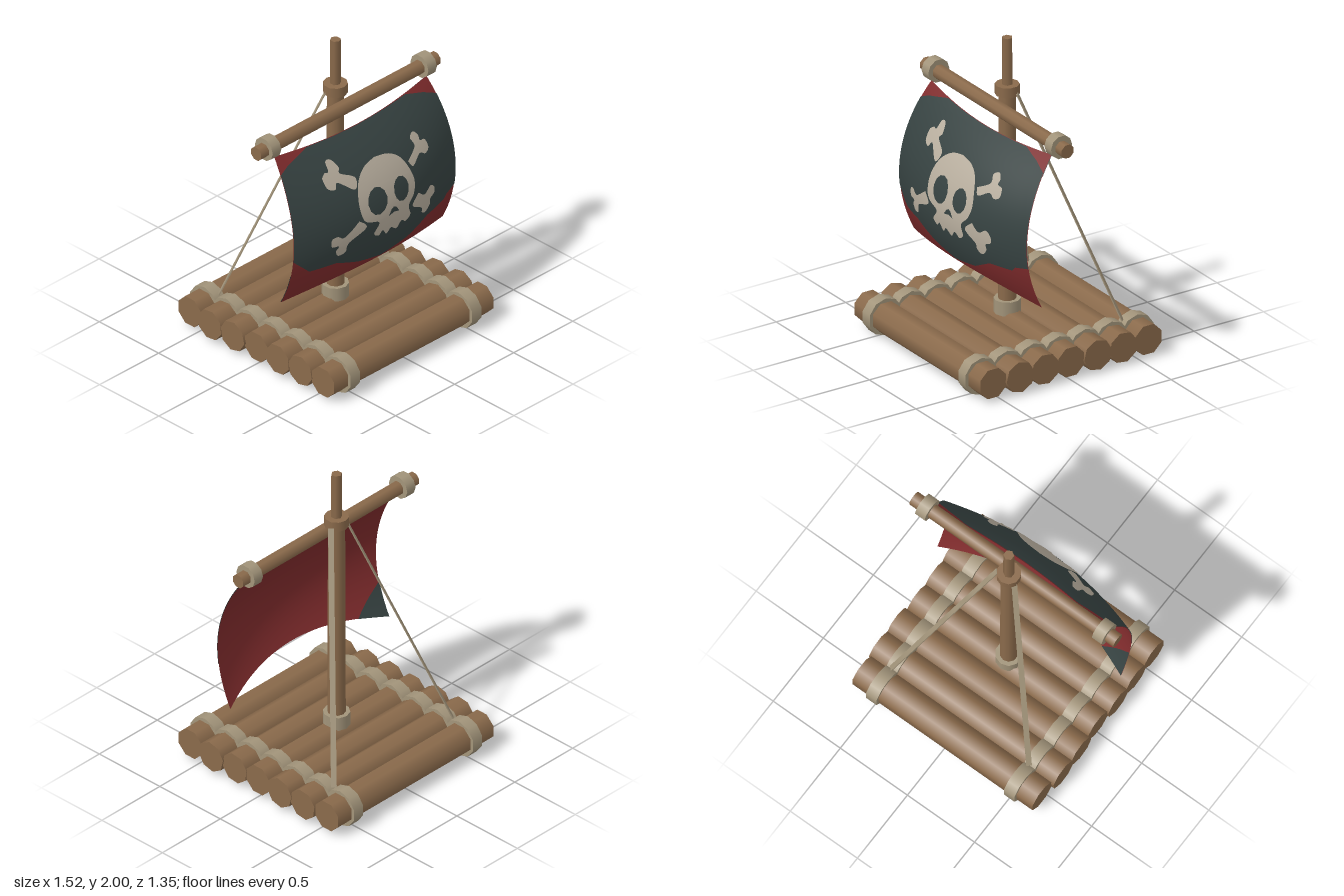
import * as THREE from 'three';
import { mergeVertices } from 'three/addons/utils/BufferGeometryUtils.js';

const material = (name, color, side = THREE.FrontSide) => {
  const m = new THREE.MeshStandardMaterial({ color, side });
  m.name = name;
  return m;
};

// Sail surface: half width at a height, and forward bulge at a point
const sailWidth = y => 0.685 - 0.04 * Math.max(0, (y - 0.55) / 0.95) ** 4;
const sailDepth = (x, y) =>
  0.45 - 0.926 * (y - 0.93) ** 2 - (x / 0.68) ** 2 * (0.125 - 0.27 * (y - 0.9) ** 2);

// Curved cloth grid with bowed top and bottom hems
function sailGeometry() {
  const geo = new THREE.PlaneGeometry(2, 1, 32, 32);
  const p = geo.attributes.position;
  for (let i = 0; i < p.count; i++) {
    const s = p.getX(i), v = p.getY(i) + 0.5;
    const y = THREE.MathUtils.lerp(0.63 - 0.09 * s * s, 1.475 + 0.03 * s * s, v);
    const x = s * sailWidth(y);
    p.setXYZ(i, x, y, sailDepth(x, y));
  }
  geo.computeVertexNormals();
  return geo;
}

// Outline from points in hundredths of a unit
function outline(points, curved) {
  const pts = points.map(([x, y]) => new THREE.Vector2(x / 100, y / 100));
  if (!curved) return new THREE.Shape(pts);
  const shape = new THREE.Shape();
  shape.moveTo(pts[0].x, pts[0].y);
  shape.splineThru([...pts.slice(1), pts[0].clone()]);
  return shape;
}

// Flat shape, subdivided and draped just off the sail
function drape(shape, offset, levels) {
  const flat = new THREE.ShapeGeometry(shape, 6).toNonIndexed().attributes.position;
  let tris = [];
  for (let i = 0; i < flat.count; i += 3) {
    tris.push([0, 1, 2].map(k => [flat.getX(i + k), flat.getY(i + k)]));
  }
  const mid = (a, b) => [(a[0] + b[0]) / 2, (a[1] + b[1]) / 2];
  for (let n = 0; n < levels; n++) {
    tris = tris.flatMap(([a, b, c]) => {
      const d = mid(a, b), e = mid(b, c), f = mid(c, a);
      return [[a, d, f], [d, b, e], [f, e, c], [d, e, f]];
    });
  }
  const out = [];
  for (const t of tris) {
    for (const [px, y] of t) {
      const w = sailWidth(y), x = THREE.MathUtils.clamp(px, -w, w);
      out.push(x, y, sailDepth(x, y) + offset);
    }
  }
  const geo = new THREE.BufferGeometry();
  geo.setAttribute('position', new THREE.Float32BufferAttribute(out, 3));
  const merged = mergeVertices(geo, 1e-5);
  merged.computeVertexNormals();
  return merged;
}

export function createModel() {
  const model = new THREE.Group();
  model.name = 'raft';
  const wood = material('wood', 0x8a6a4b);
  const rope = material('rope', 0xa2947a);
  const red = material('redCloth', 0x7f2b2c, THREE.DoubleSide);
  const dark = material('darkCloth', 0x364241, THREE.DoubleSide);
  const bone = material('bonePaint', 0xb8ae9e);

  const add = (name, geo, mat) => {
    const mesh = new THREE.Mesh(geo, mat);
    mesh.name = name;
    model.add(mesh);
    return mesh;
  };
  // Round bar along x, with the polygon turned by spin
  const barX = (name, r, x0, x1, y, z, sides, mat, spin = 0) => {
    const geo = new THREE.CylinderGeometry(r, r, x1 - x0, sides);
    geo.rotateY(spin).rotateZ(Math.PI / 2);
    return add(name, geo, mat).position.set((x0 + x1) / 2, y, z);
  };
  const post = (name, r0, r1, y0, y1, sides, mat) =>
    add(name, new THREE.CylinderGeometry(r1, r0, y1 - y0, sides), mat)
      .position.set(-0.008, (y0 + y1) / 2, 0.003);

  // Deck logs with a lashing near each end
  const ends = [[-0.675, 0.667], [-0.695, 0.68], [-0.69, 0.685], [-0.675, 0.675],
    [-0.685, 0.68], [-0.68, 0.69], [-0.675, 0.675]];
  ends.forEach(([x0, x1], i) => {
    const z = (i - 3) * 0.187;
    barX('log', 0.101, x0, x1, 0.125, z, 8, wood, Math.PI / 8 + (i % 3) * 0.12);
    for (const x of [-0.516, 0.512]) {
      barX('logLashing', 0.121, x - 0.039, x + 0.039, 0.125, z, 10, rope, Math.PI / 10);
    }
  });

  // Mast
  post('mast', 0.056, 0.052, 0.15, 1.66, 10, wood);
  post('mastTip', 0.035, 0.033, 1.66, 2, 6, wood);
  post('mastCollar', 0.075, 0.075, 1.63, 1.695, 10, wood);
  post('mastFoot', 0.083, 0.083, 0.2, 0.29, 10, rope);

  // Yard with its end lashings
  barX('yard', 0.046, -0.76, 0.76, 1.56, 0.083, 8, wood, Math.PI / 8);
  for (const s of [-1, 1]) {
    barX('yardLashing', 0.076, s * 0.659 - 0.036, s * 0.659 + 0.036, 1.563, 0.083, 10, rope);
  }

  // Flat stays from the mast head to the rear of the deck
  for (const s of [-1, 1]) {
    const top = new THREE.Vector3(s * 0.065, 1.65, -0.02);
    const foot = new THREE.Vector3(s * 0.515, 0.215, -0.475);
    const along = top.clone().sub(foot);
    const stay = add('stay', new THREE.BoxGeometry(0.034, along.length(), 0.007), rope);
    along.normalize();
    const across = new THREE.Vector3(along.z, 0, -along.x).normalize();
    stay.quaternion.setFromRotationMatrix(
      new THREE.Matrix4().makeBasis(across, along, across.clone().cross(along)));
    stay.position.copy(top).add(foot).multiplyScalar(0.5);
  }

  // Sail: red cloth with a dark ragged front panel and two dark corners behind
  add('sail', sailGeometry(), red);
  add('sailFrontPanel', drape(outline([
    [-70, 88], [-57, 76], [-39, 76], [-20, 69], [0, 64.5], [22, 68], [38, 76], [56, 77],
    [59, 80], [70, 82], [70, 100], [70, 115], [70, 130], [70, 139], [56, 145], [43, 148.5],
    [20, 147.7], [0, 147.4], [-20, 147.7], [-41, 148.5], [-59, 144], [-70, 139], [-70, 130],
    [-70, 115], [-70, 100]]), 0.004, 5), dark);
  add('sailBackLowerCorner', drape(outline([[-69, 54], [-49, 58.4], [-69, 76]]), -0.004, 3), dark);
  add('sailBackUpperCorner', drape(outline([[65, 150.3], [50, 149.1], [67, 138]]), -0.004, 3), dark);

  // Painted skull with eye and nose openings
  const skull = outline([
    [0, 131], [-10, 129], [-18, 123], [-22, 113], [-21.5, 103], [-18, 98], [-9, 94.5],
    [-13, 88], [-9, 85], [-6, 87.5], [-2.5, 83.5], [1, 86.5], [6, 83.5], [10, 87.5],
    [14, 85], [18, 88], [16.5, 95], [22, 101], [24, 110], [19, 123], [11, 129]], true);
  for (const [x, y, rx, ry] of [[-0.08, 1.08, 0.076, 0.085], [0.12, 1.08, 0.063, 0.076]]) {
    skull.holes.push(new THREE.Path().absellipse(x, y, rx, ry, 0, Math.PI * 2));
  }
  skull.holes.push(new THREE.Path(
    [[-0.012, 0.955], [0.015, 0.99], [0.035, 1.0], [0.055, 0.99], [0.08, 0.955], [0.035, 0.965]]
      .map(([x, y]) => new THREE.Vector2(x, y))));
  add('paintedSkull', drape(skull, 0.008, 3), bone);

  // Painted bones around the skull
  const bones = [
    [[-41, 132], [-38, 134], [-35, 134], [-34, 139], [-30, 139], [-27, 134], [-28, 131],
      [-19, 126], [-22, 120], [-32, 127], [-35, 124], [-40, 126]],
    [[23, 120], [32, 125], [31, 130], [35, 132], [38, 129], [38, 126], [42, 125], [43, 120],
      [39, 118], [34, 120], [26, 116]],
    [[-24, 101], [-19, 95], [-32, 89], [-34, 83], [-39, 82], [-41, 86], [-39, 89], [-44, 90],
      [-44, 95], [-40, 96], [-35, 94]],
    [[26, 99], [32, 95], [38, 98], [42, 95], [42, 91], [38, 89], [38, 85], [34, 81],
      [30, 83], [29, 87], [20, 93]]];
  for (const points of bones) add('paintedBone', drape(outline(points, true), 0.008, 2), bone);

  return model;
}
